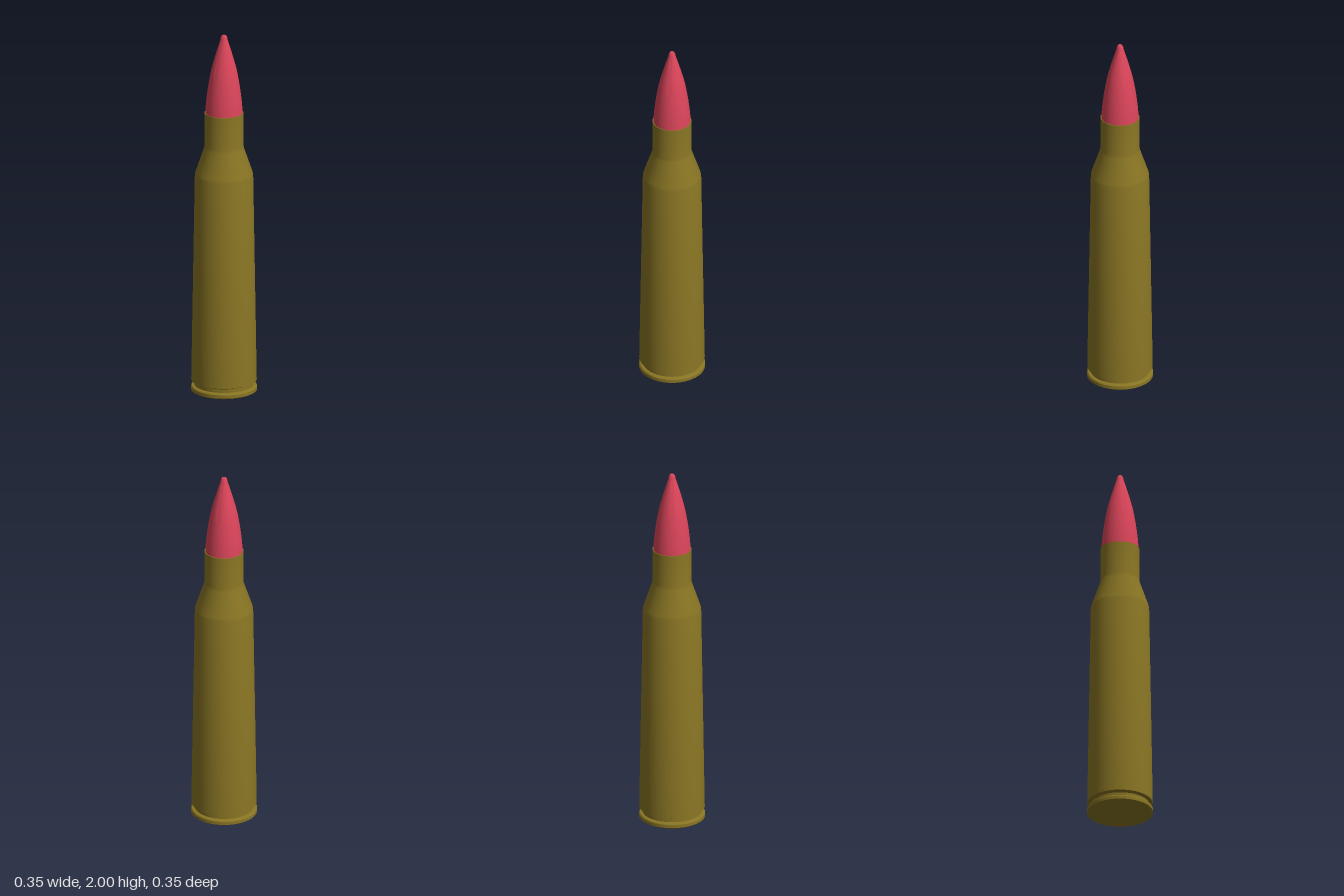
import * as THREE from 'three';
import { toCreasedNormals } from 'three/addons/utils/BufferGeometryUtils.js';

const SEGMENTS = 48;

// Turn a bottom-to-top [radius, height] profile around the y axis.
function turned(name, profile, color) {
  const points = profile.map(([r, y]) => new THREE.Vector2(r, y));
  const geometry = toCreasedNormals(new THREE.LatheGeometry(points, SEGMENTS), 0.5);
  const mesh = new THREE.Mesh(geometry, new THREE.MeshStandardMaterial({ color }));
  mesh.name = name;
  return mesh;
}

export function createModel() {
  const model = new THREE.Group();
  model.name = 'cartridge';
  const brass = 0x8a7624;
  const red = 0xdc455a;

  // Case: rim, extractor groove, tapered body, shoulder, neck and mouth lip
  model.add(turned('case', [
    [0, 0.01], [0.168, 0.01], [0.177, 0.016], [0.177, 0.034], [0.172, 0.04],
    [0.157, 0.042], [0.157, 0.062], [0.175, 0.07],
    [0.156, 1.215], [0.153, 1.23], [0.107, 1.365], [0.104, 1.385],
    [0.104, 1.565], [0.098, 1.565], [0.098, 1.54],
  ], brass));

  // Primer: shallow raised button in the middle of the base
  model.add(turned('primer', [[0, 0], [0.053, 0], [0.08, 0.01]], brass));

  // Bullet: curved ogive with a small rounded tip
  const ogive = new THREE.SplineCurve([
    [0.1, 1.565], [0.095, 1.63], [0.085, 1.71], [0.069, 1.8], [0.045, 1.89], [0.019, 1.975],
  ].map(([r, y]) => new THREE.Vector2(r, y)));
  model.add(turned('bullet', [
    [0.1, 1.54],
    ...ogive.getPoints(20).map((p) => [p.x, p.y]),
    [0.017, 1.988], [0.012, 1.997], [0, 2],
  ], red));

  return model;
}
